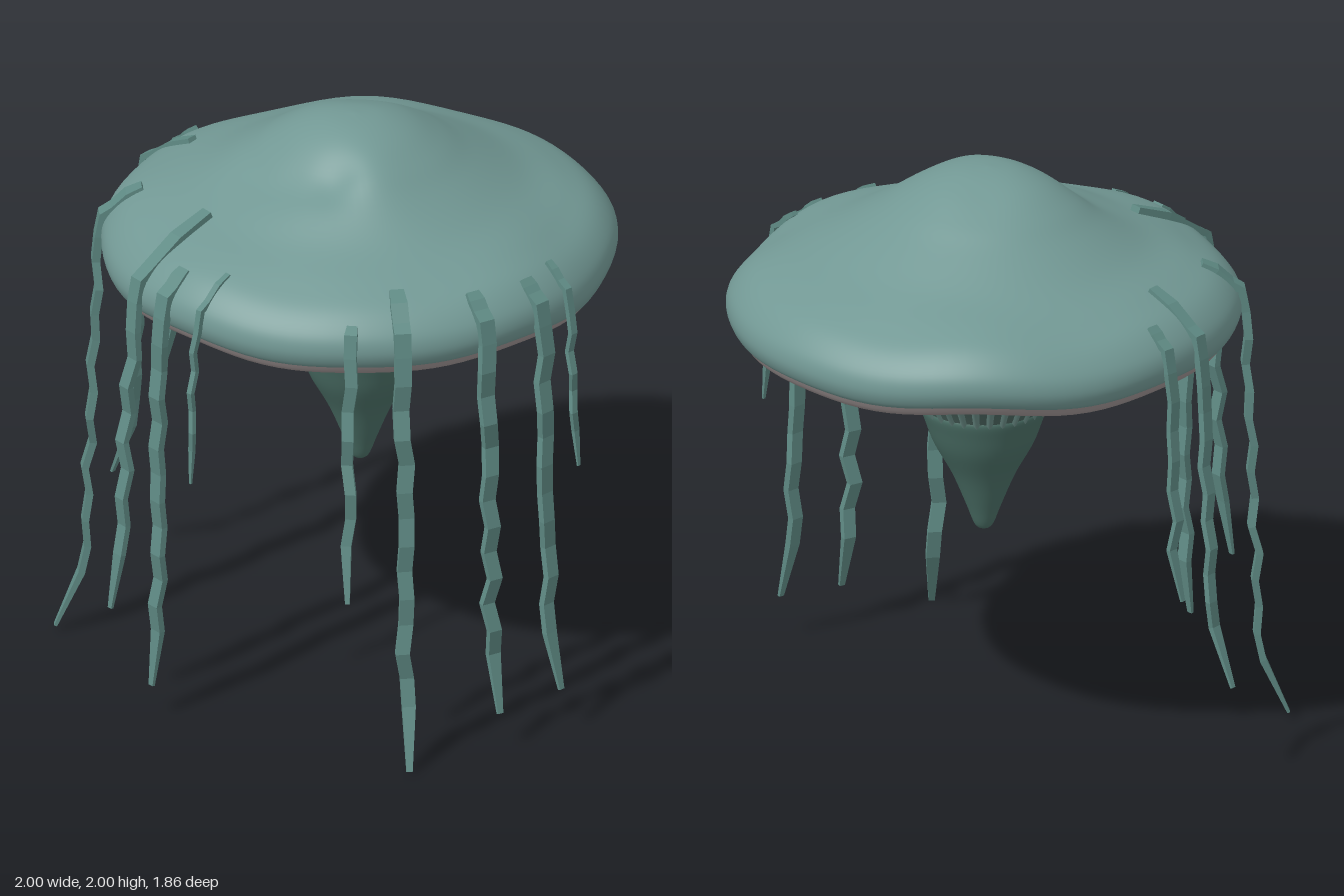
import * as THREE from 'three';
import { mergeGeometries, mergeVertices } from 'three/addons/utils/BufferGeometryUtils.js';

const CENTRE_Z = -0.055;
const mat = (color, extra = {}) => new THREE.MeshStandardMaterial({ color, ...extra });
const v2 = (pts) => pts.map(([r, y]) => new THREE.Vector2(r, y));
const smooth = (pts, n) => new THREE.SplineCurve(v2(pts)).getPoints(n);

function seeded(seed) {
  let s = seed * 7919 + 17;
  return () => ((s = (s * 16807) % 2147483647) / 2147483647);
}

// Bell profile, from the lower edge up to the crown
const BELL = [[0.835, 1.44], [0.865, 1.46], [0.88, 1.51], [0.862, 1.57], [0.8, 1.635], [0.7, 1.685],
  [0.55, 1.745], [0.4, 1.832], [0.3, 1.9], [0.2, 1.957], [0.1, 1.99], [0, 2]];

// Height of the bell's upper surface at radius r
function bellTop(r) {
  for (let i = 3; i < BELL.length - 1; i++) {
    const [r0, y0] = BELL[i], [r1, y1] = BELL[i + 1];
    if (r <= r0 && r >= r1) return y0 + (y1 - y0) * (r0 - r) / (r0 - r1);
  }
  return 1.57;
}

// Soft dents and swellings on the crown: x, z, height, spread
const DENTS = [[-0.12, 0.28, -0.03, 0.11], [0.04, 0.25, -0.025, 0.08], [0.16, 0.2, -0.03, 0.06],
  [0.27, 0.12, 0.015, 0.09], [-0.12, -0.2, -0.012, 0.08]];

// Moves a turned surface into place, with a waving rim, a slightly flat back corner and optional dents
function shape(geo, dents = []) {
  geo.deleteAttribute('uv');
  geo.deleteAttribute('normal');
  geo = mergeVertices(geo, 1e-4);
  const p = geo.attributes.position;
  for (let i = 0; i < p.count; i++) {
    const x = p.getX(i), z = p.getZ(i) + CENTRE_Z;
    const r = Math.hypot(x, p.getZ(i)), a = Math.atan2(x, p.getZ(i));
    const rim = THREE.MathUtils.smoothstep(r, 0.55, 0.8);
    const squeeze = 1 - 0.02 * rim * Math.exp(-(((a - 2.05) / 0.25) ** 2));
    let y = p.getY(i) + rim * (0.008 * Math.sin(5 * a + 1) + 0.006 * Math.cos(8 * a));
    for (const [dx, dz, h, s] of dents) y += h * Math.exp(-((x - dx) ** 2 + (z - dz) ** 2) / (2 * s * s));
    // The crown leans a little forward
    const lean = 0.025 * THREE.MathUtils.smoothstep(y, 1.72, 1.95);
    p.setXYZ(i, x * squeeze + 0.01, y, p.getZ(i) * squeeze + CENTRE_Z + lean);
  }
  geo.computeVertexNormals();
  return geo;
}

// Low gill strips running from the stalk out to the rim, fading as they go
function gillRidges(profile, count) {
  const step = (Math.PI * 2) / count, strips = [];
  for (let k = 0; k < count; k++) {
    const g = new THREE.LatheGeometry(profile, 4, k * step, step * 0.5);
    const p = g.attributes.position;
    for (let i = 0; i < p.count; i++) {
      const x = p.getX(i), z = p.getZ(i), r = Math.hypot(x, z);
      const t = Math.floor(i / profile.length) / 4;
      const fade = 1 - 0.7 * THREE.MathUtils.smoothstep(r, 0.4, 0.76);
      const lift = 0.002 + 0.008 * Math.sin(Math.PI * t) * fade;
      const out = 1 + lift * 0.6 / r;
      p.setXYZ(i, x * out, p.getY(i) - lift * 0.8, z * out);
    }
    strips.push(g);
  }
  return mergeGeometries(strips);
}

// Faceted ribbon with a rectangular section, w across and t thick, tapering to its tip
function ribbon(path, across, w, t) {
  const pos = [], idx = [], n = path.length;
  path.forEach((p, i) => {
    const dir = path[Math.min(i + 1, n - 1)].clone().sub(path[Math.max(i - 1, 0)]).normalize();
    const normal = across.clone().cross(dir).normalize();
    const f = i === n - 1 ? 0.35 : i === 0 ? 0.8 : 1 - 0.25 * (i / n);
    for (const [a, b] of [[1, 1], [-1, 1], [-1, -1], [1, -1]]) {
      const c = p.clone().addScaledVector(across, a * w * f / 2).addScaledVector(normal, b * t * f / 2);
      pos.push(c.x, c.y, c.z);
    }
  });
  for (let i = 0; i < n - 1; i++) {
    for (let j = 0; j < 4; j++) {
      const a = i * 4 + j, b = i * 4 + (j + 1) % 4;
      idx.push(a, b + 4, b, a, a + 4, b + 4);
    }
  }
  const e = (n - 1) * 4;
  idx.push(0, 1, 2, 0, 2, 3, e, e + 2, e + 1, e, e + 3, e + 2);
  const g = new THREE.BufferGeometry();
  g.setAttribute('position', new THREE.Float32BufferAttribute(pos, 3));
  g.setIndex(idx);
  g.computeVertexNormals();
  return g;
}

// Root x, z on the bell; tip x, y, z; width
const TENTACLES = [
  [-0.79, -0.04, -0.94, 0.68, -0.04, 0.045], [-0.65, 0.1, -1.0, 0.33, 0.14, 0.05],
  [-0.55, 0.43, -0.74, 0.02, 0.66, 0.06], [-0.16, 0.5, -0.2, 0.37, 0.92, 0.055],
  [-0.03, 0.73, -0.04, 0.12, 0.88, 0.06], [0.13, 0.68, 0.13, 0.94, 0.86, 0.025],
  [0.6, 0.55, 0.67, 0.6, 0.64, 0.045], [0.62, 0.36, 0.87, 0, 0.54, 0.06],
  [0.77, 0.15, 0.95, 0.13, 0.19, 0.06], [0.81, -0.06, 0.99, 0.15, -0.06, 0.06],
  [0.78, -0.2, 0.93, 0.93, -0.2, 0.03],
];

function tentacle([rx, rz, tx, ty, tz, w], seed) {
  const rand = seeded(seed + 1);
  const dir = new THREE.Vector3(tx - rx, 0, tz - rz).normalize();
  const across = new THREE.Vector3(dir.z, 0, -dir.x);
  const at = (f, y) => new THREE.Vector3(rx + (tx - rx) * f, y, rz + (tz - rz) * f);
  const radius = (p) => Math.hypot(p.x - 0.01, p.z - CENTRE_Z);
  // Fraction of the way out at which a given radius is reached
  const reach = (r) => {
    let f = 0;
    while (radius(at(f, 0)) < r && f < 0.9) f += 0.01;
    return f;
  };
  const f = reach(0.89), shoulder = reach(0.84);
  // Laid close over the bell, then bent down past the rim
  const path = [];
  for (const k of shoulder > 0.05 ? [0, 0.5, 1] : [0]) {
    const p = at(shoulder * k, 0);
    p.y = bellTop(radius(p)) + 0.008;
    path.push(p);
  }
  path.push(at(Math.max(reach(0.875), 0.03), 1.58), at(f, 1.5));
  // Zigzag fall, ending in an outward flick
  const last = ty + Math.min(0.2, (1.5 - ty) * 0.22);
  const steps = Math.max(6, Math.round((1.5 - last) / 0.1));
  for (let i = 1; i <= steps; i++) {
    const k = i / steps;
    const p = at(f + Math.min(0.15, 1 - f) * k, 1.5 + (last - 1.5) * k);
    p.addScaledVector(dir, (i % 2 ? 1 : -0.6) * (0.003 + 0.013 * rand()));
    p.addScaledVector(across, (rand() - 0.5) * 0.024);
    path.push(p);
  }
  path.push(new THREE.Vector3(tx, ty, tz));
  return ribbon(path, across, w, Math.max(0.02, w * 0.5));
}

export function createModel() {
  const model = new THREE.Group();
  const add = (name, geo, material, parent = model) => {
    const m = new THREE.Mesh(geo, material);
    m.name = name;
    parent.add(m);
  };

  // Bell and its pale lip
  add('bell', shape(new THREE.LatheGeometry(smooth(BELL, 60), 96), DENTS), mat(0x729894));
  const lip = smooth([[0.76, 1.45], [0.77, 1.422], [0.795, 1.408], [0.83, 1.418], [0.85, 1.45]], 14);
  add('lip', shape(new THREE.LatheGeometry(lip, 96)), mat(0x9a9090, { side: THREE.DoubleSide }));

  // Flared underside with alternating gills
  const gills = smooth([[0.19, 1.1], [0.25, 1.2], [0.33, 1.3], [0.45, 1.385], [0.6, 1.425], [0.77, 1.442]], 24);
  add('underside', shape(new THREE.LatheGeometry(gills, 96)), mat(0x4c6660, { side: THREE.DoubleSide }));
  add('gills', shape(gillRidges(gills, 30)), mat(0x6a8c86, { side: THREE.DoubleSide }));

  // Pointed stalk
  const stalk = smooth([[0, 0.68], [0.03, 0.695], [0.06, 0.77], [0.11, 0.89], [0.17, 1.0], [0.2, 1.08], [0.216, 1.13], [0.21, 1.15]], 30);
  add('stalk', shape(new THREE.LatheGeometry(stalk, 48)), mat(0x4a6e65));

  // Tentacles draped over the rim
  const tentacles = new THREE.Group();
  tentacles.name = 'tentacles';
  const skin = mat(0x5f8a84, { flatShading: true });
  TENTACLES.forEach((t, i) => add('tentacle' + (i + 1), tentacle(t, i), skin, tentacles));
  model.add(tentacles);
  return model;
}
